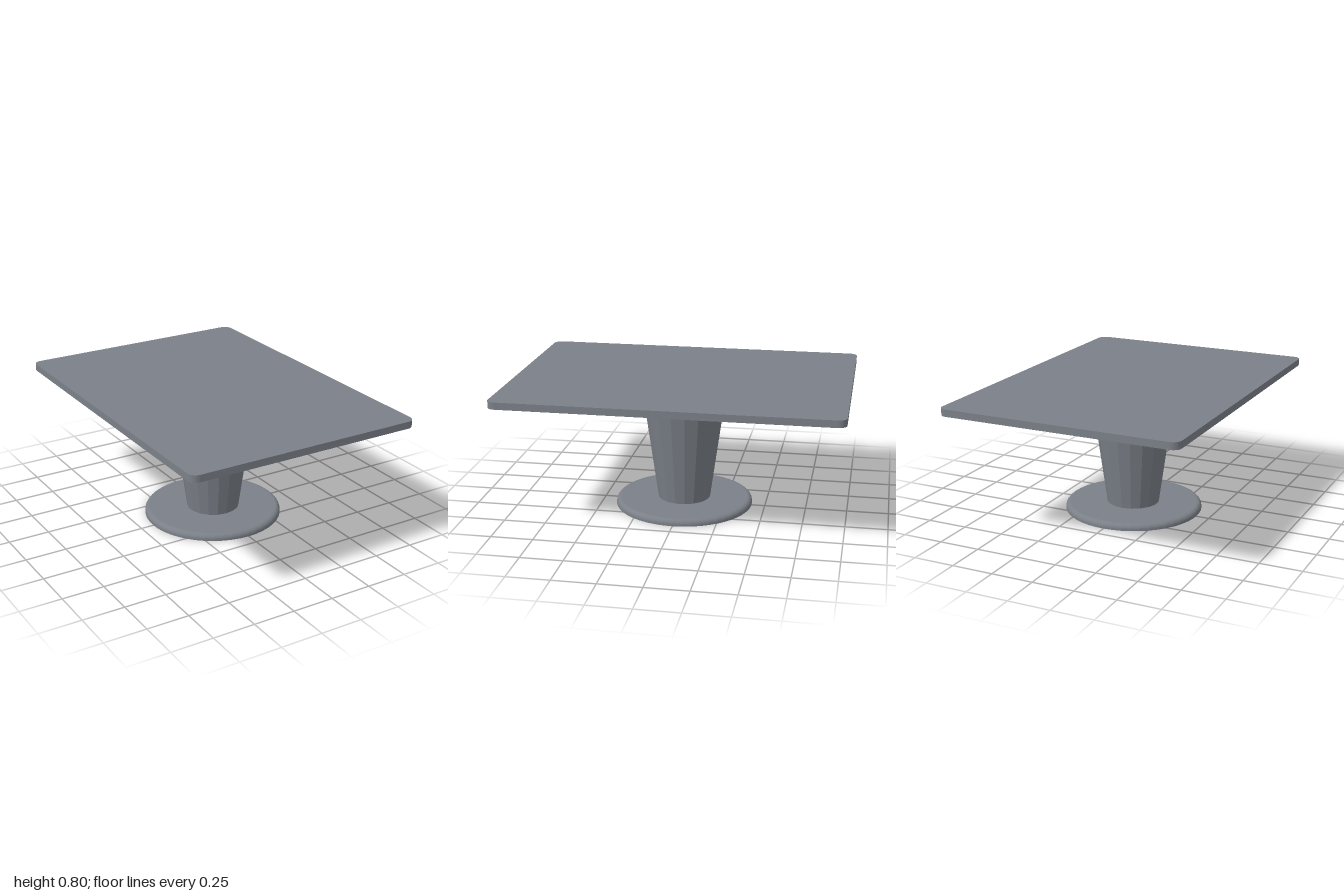
import * as THREE from 'three';
import { toCreasedNormals } from 'three/addons/utils/BufferGeometryUtils.js';

const HEIGHT = 0.8, TOP_THICK = 0.042, BASE_THICK = 0.04;

// Rectangle with rounded corners, centred on the origin
function roundedRect(w, d, r) {
  const x = w / 2, y = d / 2;
  const s = new THREE.Shape();
  s.absarc(x - r, y - r, r, 0, Math.PI / 2);
  s.absarc(-x + r, y - r, r, Math.PI / 2, Math.PI);
  s.absarc(-x + r, -y + r, r, Math.PI, Math.PI * 1.5);
  s.absarc(x - r, -y + r, r, Math.PI * 1.5, Math.PI * 2);
  s.closePath();
  return s;
}

export function createModel() {
  const model = new THREE.Group();
  model.name = 'pedestalTable';
  const color = 0x7b8088;
  const smooth = new THREE.MeshStandardMaterial({ color });
  const faceted = new THREE.MeshStandardMaterial({ color, flatShading: true });

  const add = (name, geometry, material) => {
    const mesh = new THREE.Mesh(geometry, material);
    mesh.name = name;
    model.add(mesh);
    return mesh;
  };

  // Table top: thin slab with rounded corners
  const slab = new THREE.ExtrudeGeometry(roundedRect(1.447, 2, 0.05), {
    depth: TOP_THICK, bevelEnabled: false, curveSegments: 6,
  });
  slab.rotateX(-Math.PI / 2);
  add('tableTop', toCreasedNormals(slab, 0.6), smooth).position.y = HEIGHT - TOP_THICK;

  // Pedestal: faceted column widening towards the top
  const columnHeight = HEIGHT - TOP_THICK - BASE_THICK;
  const column = new THREE.CylinderGeometry(0.26, 0.16, columnHeight, 18);
  add('pedestal', column, faceted).position.set(0.003, BASE_THICK + columnHeight / 2, 0);

  // Base: disc with a rounded upper rim
  const radius = 0.419, round = 0.03, steps = 6;
  const profile = [new THREE.Vector2(0, 0), new THREE.Vector2(radius, 0)];
  for (let i = 0; i <= steps; i++) {
    const a = (i / steps) * Math.PI / 2;
    profile.push(new THREE.Vector2(
      radius - round + round * Math.cos(a),
      BASE_THICK - round + round * Math.sin(a)
    ));
  }
  profile.push(new THREE.Vector2(0, BASE_THICK));
  add('base', new THREE.LatheGeometry(profile, 48), faceted);

  return model;
}
